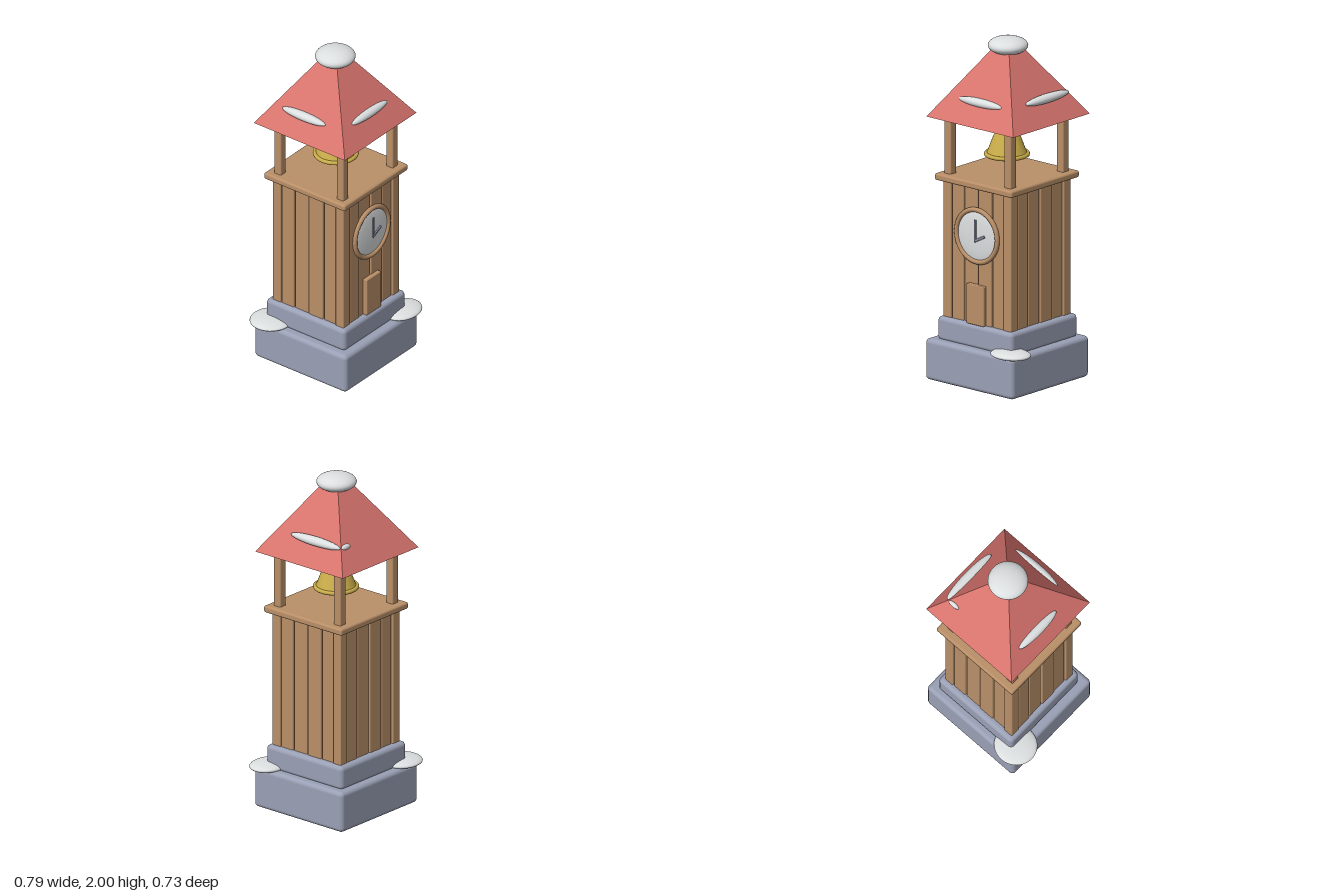
import * as THREE from 'three';
import { RoundedBoxGeometry } from 'three/addons/geometries/RoundedBoxGeometry.js';

function material(name, color, extra = {}) {
  const m = new THREE.MeshStandardMaterial({ color, ...extra });
  m.name = name;
  return m;
}

export function createModel() {
  const wood = material('wood', 0xb98f68);
  const stone = material('stone', 0x9aa0b5);
  const snow = material('snow', 0xdcdfe0);
  const roofRed = material('roof red', 0xd9746e, { flatShading: true });
  const gold = material('bell gold', 0xc9ac4a, { side: THREE.DoubleSide });
  const metal = material('metal', 0x858ca0);

  const tower = new THREE.Group();
  tower.name = 'bellTower';

  function add(name, geometry, mat, x, y, z, parent = tower) {
    const mesh = new THREE.Mesh(geometry, mat);
    mesh.name = name;
    mesh.position.set(x, y, z);
    parent.add(mesh);
    return mesh;
  }
  // Rounded box given by its limits on each axis
  function block(name, mat, [x0, x1], [y0, y1], [z0, z1], radius, parent = tower) {
    const geometry = new RoundedBoxGeometry(x1 - x0, y1 - y0, z1 - z0, 3, radius);
    return add(name, geometry, mat, (x0 + x1) / 2, (y0 + y1) / 2, (z0 + z1) / 2, parent);
  }
  function ellipsoid(name, mat, centre, radii, parent = tower) {
    const geometry = new THREE.SphereGeometry(1, 32, 20).scale(...radii);
    return add(name, geometry, mat, ...centre, parent);
  }

  // Stepped stone base
  block('lowerBase', stone, [-0.325, 0.333], [0.005, 0.245], [-0.333, 0.323], 0.025);
  block('upperBase', stone, [-0.275, 0.285], [0.235, 0.375], [-0.29, 0.275], 0.025);

  // Plank walls: corner posts, then four planks on each side
  const walls = new THREE.Group();
  walls.name = 'plankWalls';
  walls.position.set(0.003, 0, -0.005);
  tower.add(walls);
  const low = 0.36, high = 1.175;
  const edges = [-0.194, -0.102, 0, 0.105, 0.194];
  for (let side = 0; side < 4; side++) {
    const wall = new THREE.Group();
    wall.name = 'wall';
    wall.rotation.y = side * Math.PI / 2;
    walls.add(wall);
    block('cornerPost', wood, [0.196, 0.254], [low, high], [0.196, 0.254], 0.006, wall);
    for (let i = 0; i < 4; i++) {
      const face = 0.25 - (i % 2) * 0.004;
      block('plank', wood, [edges[i] + 0.003, edges[i + 1] - 0.003],
        [low, high], [face - 0.04, face], 0.006, wall);
    }
  }

  // Door
  block('door', wood, [-0.062, 0.068], [0.372, 0.605], [0.235, 0.268], 0.006);

  // Clock with a domed face, round frame and two hands
  const clock = new THREE.Group();
  clock.name = 'clock';
  clock.position.set(0.003, 0.89, 0.247);
  tower.add(clock);
  add('clockFrame', new THREE.TorusGeometry(0.152, 0.014, 12, 48), wood, 0, 0, 0.003, clock);
  ellipsoid('clockFace', snow, [0, 0, 0], [0.145, 0.145, 0.014], clock);
  function hand(name, length, angle) {
    const geometry = new RoundedBoxGeometry(0.016, length, 0.009, 2, 0.004);
    geometry.translate(0, length / 2 - 0.008, 0);
    add(name, geometry, metal, 0, -0.025, 0.017, clock).rotation.z = angle;
  }
  hand('minuteHand', 0.13, 0);
  hand('hourHand', 0.085, -1.1);

  // Belfry floor, posts and bell beam
  block('belfryFloor', wood, [-0.285, 0.292], [1.17, 1.21], [-0.295, 0.285], 0.012);
  for (const x of [-0.223, 0.226]) {
    for (const z of [-0.226, 0.22]) {
      block('belfryPost', wood, [x - 0.025, x + 0.025], [1.2, 1.545],
        [z - 0.025, z + 0.025], 0.008);
    }
  }
  const beam = new THREE.CylinderGeometry(0.017, 0.017, 0.41, 12).rotateZ(Math.PI / 2);
  add('bellBeam', beam, wood, 0.003, 1.51, -0.005);

  // Bell with rolled rim and clapper
  const bell = new THREE.Group();
  bell.name = 'bell';
  bell.position.set(0.003, 0, -0.005);
  tower.add(bell);
  const profile = [[0.118, 1.315], [0.105, 1.345], [0.083, 1.405], [0.066, 1.445],
    [0.052, 1.472], [0.035, 1.488], [0.018, 1.495], [0, 1.497]]
    .map(([r, y]) => new THREE.Vector2(r, y));
  add('bellBody', new THREE.LatheGeometry(profile, 32), gold, 0, 0, 0, bell);
  add('bellRim', new THREE.TorusGeometry(0.118, 0.012, 10, 36).rotateX(Math.PI / 2),
    gold, 0, 1.317, 0, bell);
  add('clapperRod', new THREE.CylinderGeometry(0.007, 0.007, 0.19, 10), metal, 0, 1.385, 0, bell);
  ellipsoid('clapper', metal, [0, 1.288, 0], [0.022, 0.022, 0.022], bell);

  // Four-sided roof
  const roof = new THREE.CylinderGeometry(0.05 * Math.SQRT2, 0.325 * Math.SQRT2, 0.41, 4)
    .rotateY(Math.PI / 4);
  add('roof', roof, roofRed, 0.005, 1.745, -0.012);

  // Snow on the peak, the roof slopes and the base corners
  const drifts = [
    ['peakSnow', [0.006, 1.95, -0.011], [0.114, 0.05, 0.114]],
    ['frontRoofSnow', [0.01, 1.663, 0.228], [0.16, 0.025, 0.028]],
    ['leftRoofSnow', [0.25, 1.674, -0.068], [0.031, 0.026, 0.182]],
    ['rightRoofSnow', [-0.245, 1.661, -0.038], [0.029, 0.025, 0.153]],
    ['backRoofSnow', [0.2, 1.67, -0.247], [0.037, 0.017, 0.015]],
    ['frontBaseSnow', [0.268, 0.252, 0.264], [0.124, 0.026, 0.1]],
    ['backBaseSnow', [-0.272, 0.252, -0.25], [0.124, 0.026, 0.12]],
  ];
  for (const [name, centre, radii] of drifts) ellipsoid(name, snow, centre, radii);

  return tower;
}
